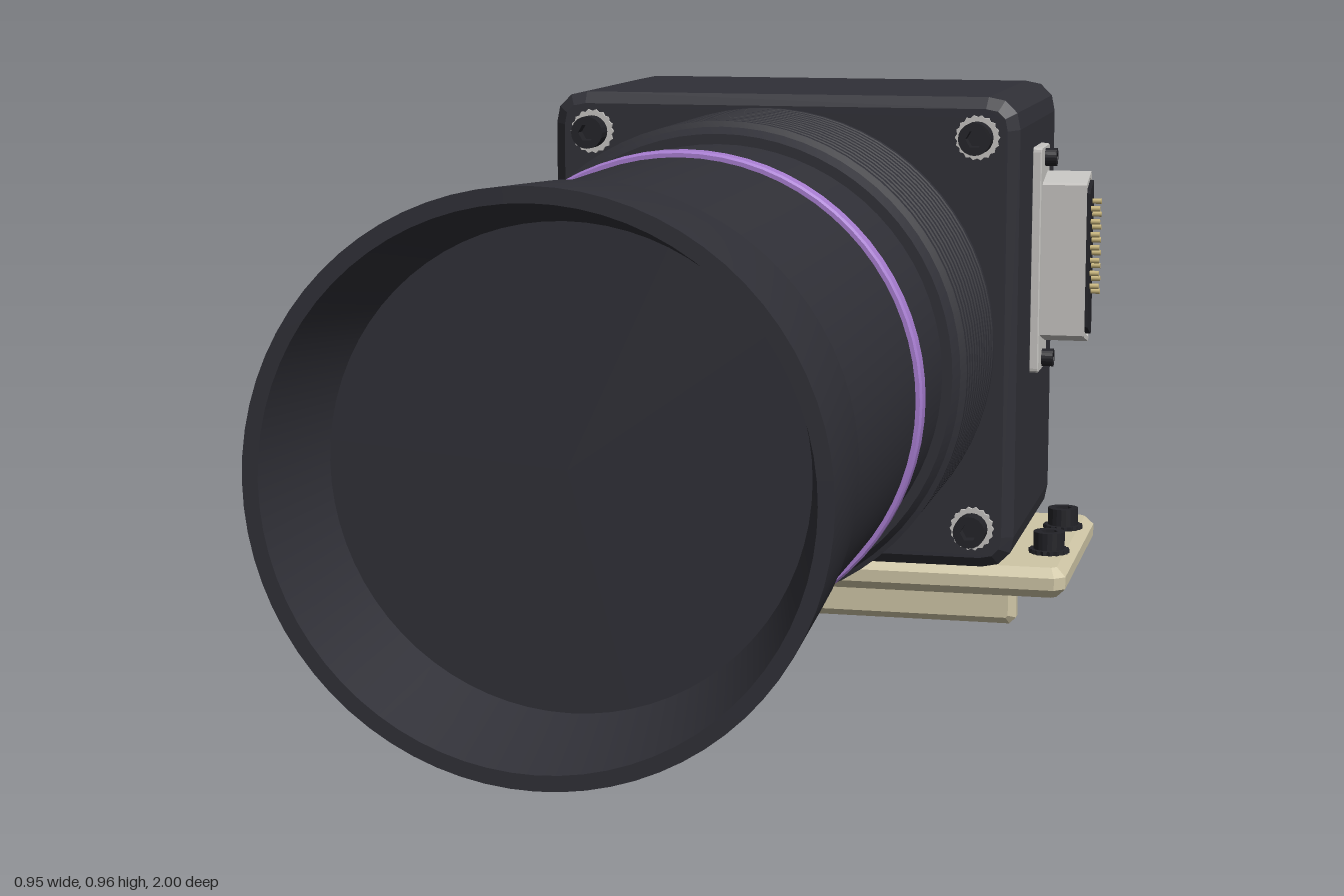
import * as THREE from 'three';
import { toCreasedNormals } from 'three/addons/utils/BufferGeometryUtils.js';

const flat = (name, color) => {
  const m = new THREE.MeshStandardMaterial({ color });
  m.name = name;
  return m;
};

export function createModel() {
  const black = flat('black casing', 0x303037);
  const dark = flat('dark steel', 0x232328);
  const silver = flat('silver', 0xc6c4c1);
  const beige = flat('beige bracket', 0xcfc6a6);
  const purple = flat('purple', 0xa77dd0);
  const gold = flat('gold pins', 0xc9b67c);

  const CX = -0.012, CY = 0.583;
  const model = new THREE.Group();
  model.name = 'camera';

  function add(parent, name, geometry, material, x = 0, y = 0, z = 0) {
    const mesh = new THREE.Mesh(geometry, material);
    mesh.name = name;
    mesh.position.set(x, y, z);
    parent.add(mesh);
    return mesh;
  }

  // Centred block with rounded corners and chamfered ends, extruded along z
  function block(w, h, d, corner, bevel, curveSegments = 3) {
    const a = w / 2 - bevel, b = h / 2 - bevel, c = corner;
    const s = new THREE.Shape();
    s.moveTo(-a + c, -b);
    s.lineTo(a - c, -b);
    s.quadraticCurveTo(a, -b, a, -b + c);
    s.lineTo(a, b - c);
    s.quadraticCurveTo(a, b, a - c, b);
    s.lineTo(-a + c, b);
    s.quadraticCurveTo(-a, b, -a, b - c);
    s.lineTo(-a, -b + c);
    s.quadraticCurveTo(-a, -b, -a + c, -b);
    const g = new THREE.ExtrudeGeometry(s, {
      depth: d - 2 * bevel, bevelEnabled: true, bevelSize: bevel, bevelThickness: bevel,
      bevelSegments: 1, curveSegments,
    });
    return g.translate(0, 0, -(d - 2 * bevel) / 2);
  }

  // Polygon whose radius alternates between two values
  function ringPoints(n, r1, r2 = r1) {
    return Array.from({ length: n }, (_, i) => {
      const t = (i / n) * Math.PI * 2, r = i % 2 ? r2 : r1;
      return new THREE.Vector2(Math.cos(t) * r, Math.sin(t) * r);
    });
  }

  const prism = (shape, depth) => new THREE.ExtrudeGeometry(shape, { depth, bevelEnabled: false });

  // Surface of revolution about z from [z, radius] pairs
  function turned(profile) {
    const g = new THREE.LatheGeometry(profile.map(([z, r]) => new THREE.Vector2(r, z)), 72);
    return toCreasedNormals(g.rotateX(Math.PI / 2), 0.35);
  }

  // Socket-head screw standing on z = 0, with an optional washer
  function screw(parent, name, x, y, z, r, h, washer, washerMaterial) {
    const g = new THREE.Group();
    g.name = name;
    g.position.set(x, y, z);
    const head = new THREE.Shape(ringPoints(20, r));
    head.holes.push(new THREE.Path(ringPoints(6, r * 0.55).reverse()));
    add(g, 'screwHead', prism(head, h), dark);
    add(g, 'screwSocket', new THREE.CircleGeometry(r * 0.7, 12), dark, 0, 0, h * 0.4);
    if (washer) {
      add(g, 'washer', prism(new THREE.Shape(ringPoints(36, washer, washer * 0.91)), 0.007), washerMaterial);
    }
    parent.add(g);
    return g;
  }

  // Camera body
  add(model, 'body', block(0.763, 0.762, 0.495, 0.035, 0.018), black, CX, CY - 0.002, -0.6625);
  add(model, 'backPlate', block(0.735, 0.735, 0.02, 0.035, 0.004), black, CX, CY - 0.002, -0.907);

  // Cooling fins
  for (let i = -3; i <= 3; i++) {
    add(model, 'coolingFin', block(0.022, 0.667, 0.1, 0.003, 0.005, 1), black, CX + i * 0.0995, CY, -0.95);
  }

  // Front corner screws
  for (const sx of [-1, 1]) for (const sy of [-1, 1]) {
    screw(model, 'frontScrew', CX + sx * 0.316, CY + sy * 0.316, -0.416, 0.026, 0.04, 0.036, silver);
  }

  // Lens barrel, flared hood and recessed inner cone
  add(model, 'lensBarrel', turned([
    [-0.42, 0.325], [-0.3, 0.325], [-0.3, 0.333], [0.755, 0.333], [0.765, 0.345], [0.78, 0.348],
    [1, 0.36], [1, 0.34], [0.85, 0.304],
  ]), black, CX, CY + 0.002, 0);
  add(model, 'lensFront', new THREE.CircleGeometry(0.306, 72), black, CX, CY + 0.002, 0.851);

  // Mount rings
  add(model, 'mountRing', turned([[-0.355, 0.3], [-0.355, 0.334], [-0.305, 0.334], [-0.305, 0.3]]), black, CX, CY);
  add(model, 'silverRing', turned([[-0.373, 0.3], [-0.373, 0.333], [-0.356, 0.333], [-0.356, 0.3]]), silver, CX, CY);

  // Ribbed focus grip
  const grip = [[-0.307, 0.33], [-0.307, 0.348], [-0.29, 0.355]];
  const ribs = 12, pitch = 0.3 / ribs;
  for (let i = 0; i < ribs; i++) {
    const z = -0.287 + i * pitch;
    grip.push([z, 0.352], [z + 0.004, 0.365], [z + pitch * 0.65, 0.365], [z + pitch * 0.65 + 0.004, 0.352]);
  }
  grip.push([0.016, 0.357], [0.035, 0.348], [0.035, 0.33]);
  add(model, 'focusGrip', turned(grip), black, CX, CY + 0.002);

  // Purple band
  add(model, 'purpleBand', turned([
    [0.237, 0.33], [0.237, 0.339], [0.241, 0.342], [0.268, 0.342], [0.272, 0.339], [0.272, 0.33],
  ]), purple, CX, CY + 0.002);

  // Angle bracket: base plate and rear flange
  const plate = block(0.93, 0.467, 0.05, 0.008, 0.015, 1);
  add(model, 'bracketPlate', plate.rotateX(-Math.PI / 2), beige, CX, 0.175, -0.667);
  add(model, 'bracketFlange', block(0.665, 0.18, 0.046, 0.004, 0.013, 1), beige, CX, 0.09, -0.877);

  // Bracket screws
  for (const sx of [-1, 1]) for (const z of [-0.767, -0.566]) {
    const s = screw(model, 'bracketScrew', CX + sx * 0.424, 0.2, z, 0.026, 0.036, 0.034, dark);
    s.rotation.x = -Math.PI / 2;
  }

  // Side connector, built facing +z and turned to face +x
  const plug = new THREE.Group();
  plug.name = 'sideConnector';
  plug.position.set(0.368, 0.6825, -0.655);
  plug.rotation.y = Math.PI / 2;
  model.add(plug);

  const dPoints = (w, h, slant) => [
    [-w, -h + slant], [-w * 0.8, -h + slant * 0.8], [w * 0.8, -h], [w, -h + 0.008],
    [w, h - 0.008], [w * 0.8, h], [-w * 0.8, h - slant * 0.8], [-w, h - slant],
  ].map(([x, y]) => new THREE.Vector2(x, y));

  add(plug, 'connectorPlate', block(0.11, 0.375, 0.016, 0.006, 0.002), silver, 0, 0, 0.008);
  const shell = new THREE.Shape(dPoints(0.038, 0.143, 0.018));
  shell.holes.push(new THREE.Path(dPoints(0.031, 0.134, 0.018).reverse()));
  add(plug, 'connectorShell', prism(shell, 0.073), silver, 0, 0, 0.016);
  add(plug, 'connectorInsert', prism(new THREE.Shape(dPoints(0.029, 0.129, 0.018)), 0.078), dark, 0, 0, 0.016);

  // Two staggered rows of pins
  for (const [x, count] of [[0.011, 8], [-0.011, 7]]) {
    for (let i = 0; i < count; i++) {
      const pin = new THREE.CylinderGeometry(0.0045, 0.0045, 0.02, 8).rotateX(Math.PI / 2);
      add(plug, 'connectorPin', pin, gold, x, 0.02 + (i - (count - 1) / 2) * 0.0215, 0.099);
    }
  }
  for (const sy of [-1, 1]) screw(plug, 'connectorScrew', 0, sy * 0.168, 0.015, 0.015, 0.02);

  return model;
}
